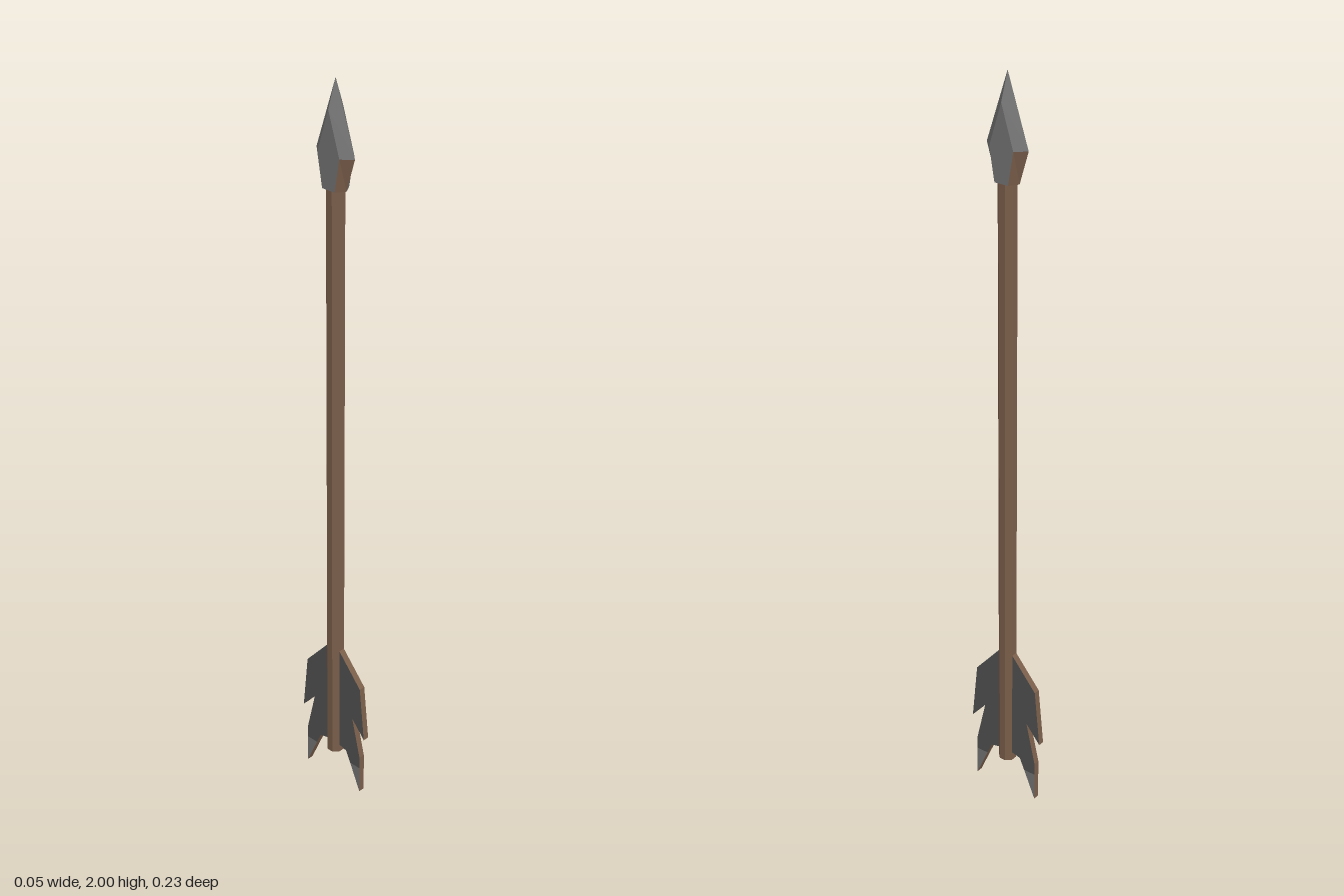
import * as THREE from 'three';

const wood = new THREE.MeshStandardMaterial({ color: 0x7a5e4a });
wood.name = 'brown wood';
const steel = new THREE.MeshStandardMaterial({ color: 0x747474 });
steel.name = 'grey steel';
const vane = new THREE.MeshStandardMaterial({ color: 0x525252 });
vane.name = 'dark grey vane';
for (const m of [wood, steel, vane]) m.flatShading = true;

// Flat polygons around a centre, each fanned and turned to face outwards
function facets(polygons, centre) {
  const positions = [];
  for (const poly of polygons) {
    const p = poly.map((c) => new THREE.Vector3(...c));
    for (let i = 1; i < p.length - 1; i++) {
      const tri = new THREE.Triangle(p[0], p[i], p[i + 1]);
      const outward = tri.getNormal(new THREE.Vector3()).dot(tri.getMidpoint(new THREE.Vector3()).sub(centre)) > 0;
      const order = outward ? [tri.a, tri.b, tri.c] : [tri.a, tri.c, tri.b];
      for (const v of order) positions.push(v.x, v.y, v.z);
    }
  }
  const g = new THREE.BufferGeometry();
  g.setAttribute('position', new THREE.Float32BufferAttribute(positions, 3));
  g.computeVertexNormals();
  return g;
}

// Faceted head: a flat kite on each side with bevels to the cutting edges
function createHead() {
  const head = new THREE.Group();
  head.name = 'arrowHead';
  const steelFaces = [], woodFaces = [];
  const tip = [0, 2, 0];
  const W = 0.024;
  for (const sx of [1, -1]) {
    const x = sx * W;
    const peak = [x, 1.93, 0];
    steelFaces.push([peak, [x, 1.82, 0.035], [x, 1.735, 0.02], [x, 1.735, -0.02], [x, 1.82, -0.035]]);
    for (const sz of [1, -1]) {
      const shoulder = [x, 1.82, sz * 0.035], foot = [x, 1.735, sz * 0.02];
      const edge = [0, 1.82, sz * 0.061], edgeFoot = [0, 1.735, sz * 0.035];
      steelFaces.push([peak, shoulder, edge, tip]);
      (sx === sz ? steelFaces : woodFaces).push([shoulder, foot, edgeFoot, edge]);
    }
  }
  // underside of the head
  const y = 1.735;
  woodFaces.push([[0, y, 0.035], [W, y, 0.02], [W, y, -0.02], [0, y, -0.035], [-W, y, -0.02], [-W, y, 0.02]]);
  const centre = new THREE.Vector3(0, 1.82, 0);
  const blade = new THREE.Mesh(facets(steelFaces, centre), steel);
  blade.name = 'headBlade';
  const base = new THREE.Mesh(facets(woodFaces, centre), wood);
  base.name = 'headBase';
  head.add(blade, base);
  return head;
}

// Thin plate from an outline of (distance from axis, height)
function plate(name, outline, face) {
  const T = 0.017;
  const shape = new THREE.Shape(outline.map(([r, y]) => new THREE.Vector2(r, y)));
  const g = new THREE.ExtrudeGeometry(shape, { depth: T, bevelEnabled: false });
  g.translate(0, 0, -T / 2);
  g.rotateY(-Math.PI / 2);
  const mesh = new THREE.Mesh(g, [face, wood]);
  mesh.name = name;
  return mesh;
}

// Barbed fletching with a paler trailing tip
function createFletching() {
  const fin = new THREE.Group();
  fin.add(
    plate('vane', [
      [0.01, 0.445], [0.022, 0.432], [0.097, 0.345], [0.113, 0.185], [0.07, 0.235],
      [0.098, 0.115], [0.098, 0.08], [0.063, 0.08], [0.048, 0.113], [0.01, 0.122],
    ], vane),
    plate('vaneTip', [[0.098, 0.08], [0.098, 0], [0.063, 0.08]], steel),
  );
  return fin;
}

export function createModel() {
  const arrow = new THREE.Group();
  arrow.name = 'arrow';

  // Eight-sided shaft with flats facing the axes
  const shaftGeo = new THREE.CylinderGeometry(0.024, 0.024, 1.645, 8);
  shaftGeo.rotateY(Math.PI / 8);
  const shaft = new THREE.Mesh(shaftGeo, wood);
  shaft.name = 'shaft';
  shaft.position.y = 0.095 + 1.645 / 2;
  arrow.add(shaft, createHead());

  // Front and back fletchings
  for (const [name, turn] of [['frontFletching', 0], ['backFletching', Math.PI]]) {
    const fin = createFletching();
    fin.name = name;
    fin.rotation.y = turn;
    arrow.add(fin);
  }
  return arrow;
}
